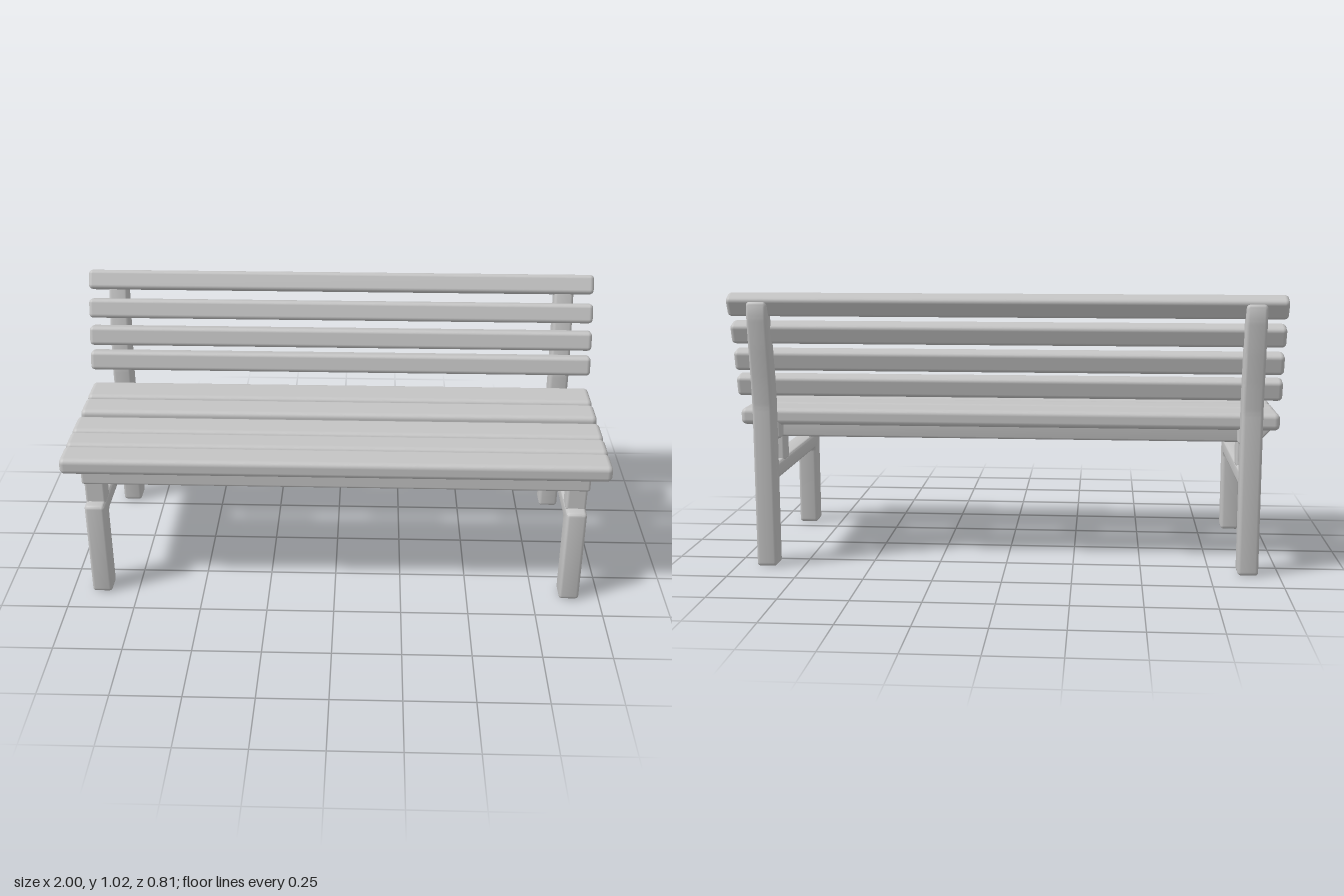
import * as THREE from 'three';
import { RoundedBoxGeometry } from 'three/addons/geometries/RoundedBoxGeometry.js';
import { toCreasedNormals } from 'three/addons/utils/BufferGeometryUtils.js';

const material = new THREE.MeshStandardMaterial({ color: 0xc4c4c4 });
material.name = 'pale grey';

// Rounded beam given by its limits in x, y and z
function beam(name, [x0, x1], [y0, y1], [z0, z1], radius) {
  const mesh = new THREE.Mesh(new RoundedBoxGeometry(x1 - x0, y1 - y0, z1 - z0, 3, radius), material);
  mesh.position.set((x0 + x1) / 2, (y0 + y1) / 2, (z0 + z1) / 2);
  mesh.name = name;
  return mesh;
}

// Polygon with softened corners
function softShape(points, r) {
  const pts = points.map(p => new THREE.Vector2(p[0], p[1]));
  const shape = new THREE.Shape();
  pts.forEach((p, i) => {
    const toward = q => {
      const d = q.clone().sub(p);
      return p.clone().add(d.setLength(Math.min(r, d.length() / 2)));
    };
    const a = toward(pts[(i + pts.length - 1) % pts.length]);
    const b = toward(pts[(i + 1) % pts.length]);
    if (i === 0) shape.moveTo(a.x, a.y);
    else shape.lineTo(a.x, a.y);
    shape.quadraticCurveTo(p.x, p.y, b.x, b.y);
  });
  shape.closePath();
  return shape;
}

function extrude(points, r, width, bevel) {
  const geometry = new THREE.ExtrudeGeometry(softShape(points, r), {
    depth: width - 2 * bevel, curveSegments: 4,
    bevelEnabled: true, bevelThickness: bevel, bevelSize: bevel, bevelOffset: -bevel, bevelSegments: 3,
  });
  geometry.translate(0, 0, bevel - width / 2);
  return geometry;
}

// Side profile of [z, y] points, given a width along x
function sidePiece(name, points, x) {
  const geometry = extrude(points, 0.015, 0.075, 0.012);
  geometry.rotateY(-Math.PI / 2);
  const mesh = new THREE.Mesh(toCreasedNormals(geometry, 0.7), material);
  mesh.position.x = x;
  mesh.name = name;
  return mesh;
}

export function createModel() {
  const bench = new THREE.Group();
  bench.name = 'bench';

  // Seat slats, front to back
  [[0.29, 0.408], [0.18, 0.287], [0.053, 0.176], [-0.103, 0.019], [-0.252, -0.114]].forEach(
    (z, i) => bench.add(beam('seatSlat' + (i + 1), [-1, 1], [0.516, 0.579], z, 0.02)));

  // Backrest slats, bottom to top: z, y, lean in degrees
  [[-0.258, 0.672, 12], [-0.282, 0.769, 13], [-0.315, 0.872, 18], [-0.358, 0.976, 25]].forEach(
    ([z, y, lean], i) => {
      const slat = new THREE.Mesh(new RoundedBoxGeometry(2, 0.076, 0.062, 3, 0.016), material);
      slat.position.set(0, y, z);
      slat.rotation.x = -THREE.MathUtils.degToRad(lean);
      slat.name = 'backSlat' + (i + 1);
      bench.add(slat);
    });

  // Long rails under the seat; the rear one has slanted ends
  bench.add(beam('frontRail', [-0.93, 0.93], [0.46, 0.525], [0.295, 0.377], 0.01));
  const rear = extrude([[-0.93, 0.465], [0.93, 0.465], [0.985, 0.525], [-0.985, 0.525]], 0.008, 0.08, 0.008);
  const rearRail = new THREE.Mesh(toCreasedNormals(rear, 0.7), material);
  rearRail.position.z = -0.165;
  rearRail.name = 'rearRail';
  bench.add(rearRail);

  // End frames, mirrored
  for (const [side, sign] of [['left', 1], ['right', -1]]) {
    const frame = new THREE.Group();
    frame.name = side + 'Frame';
    const x = sign * 0.887;
    const span = [x - 0.0375, x + 0.0375];

    frame.add(sidePiece('frontLegAndArm', [
      [0.4, 0], [0.4, 0.38], [-0.285, 0.38], [-0.285, 0.32], [0.315, 0.32], [0.315, 0],
    ], x));
    frame.add(sidePiece('backLeg', [
      [-0.277, 0], [-0.363, 0], [-0.363, 0.6], [-0.375, 0.7], [-0.392, 0.82], [-0.405, 0.93],
      [-0.403, 0.985], [-0.37, 1.005], [-0.345, 0.96], [-0.318, 0.86], [-0.295, 0.75], [-0.277, 0.62],
    ], x));
    frame.add(beam('crossBeam', span, [0.463, 0.537], [-0.25, 0.36], 0.012));
    frame.add(beam('frontPost', span, [0.37, 0.475], [0.29, 0.361], 0.01));
    frame.add(beam('rearPost', span, [0.37, 0.475], [-0.2, -0.126], 0.01));
    bench.add(frame);
  }
  return bench;
}
